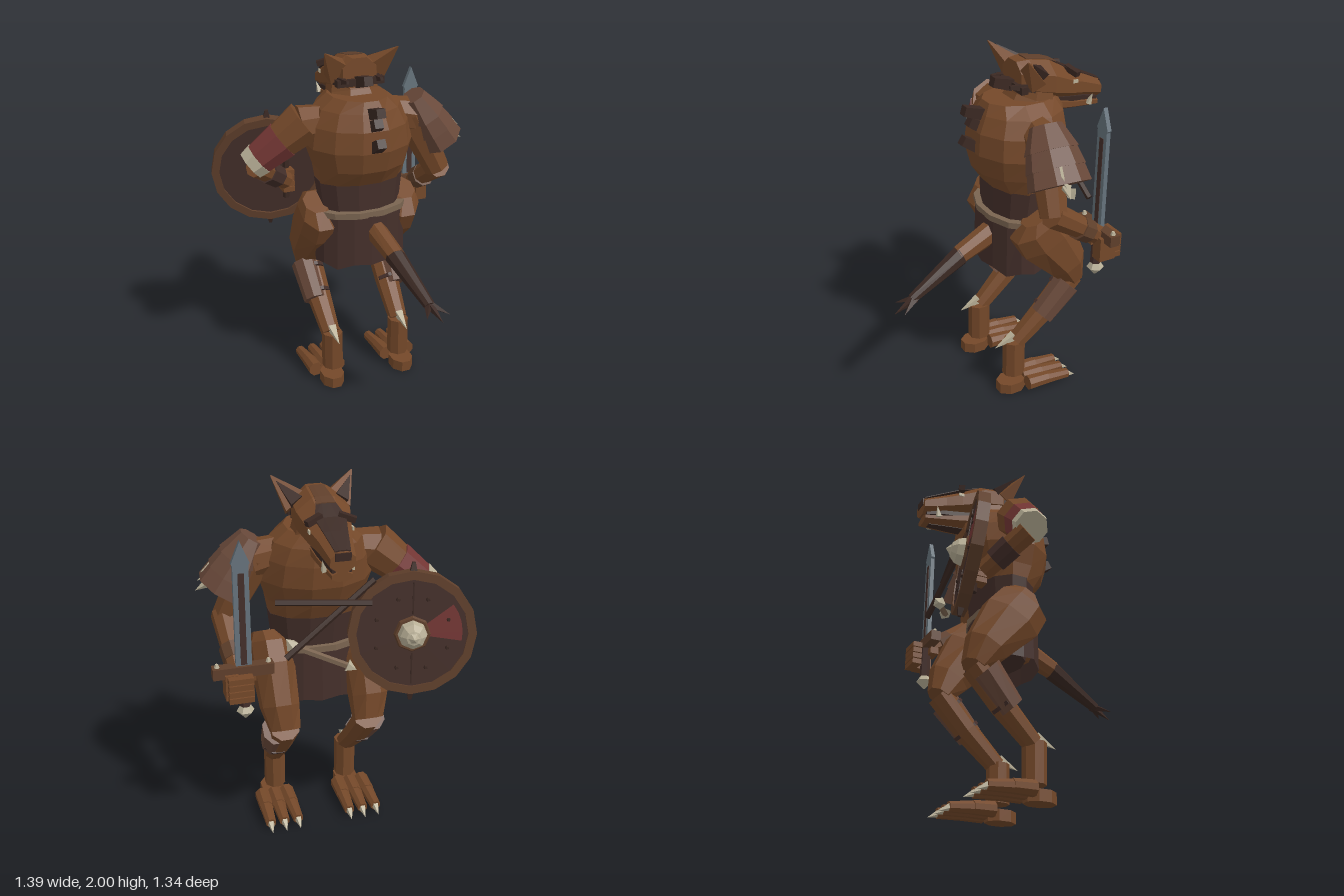
import * as THREE from 'three';

const material = (name, color) => {
  const m = new THREE.MeshStandardMaterial({ color, side: THREE.DoubleSide });
  m.name = name;
  return m;
};
const M = {
  fur: material('brown fur', 0x744829),
  dark: material('dark fur', 0x3a2822),
  leather: material('dark leather', 0x442f2a),
  plate: material('armour leather', 0x684839),
  wood: material('brown wood', 0x5f3f2b),
  red: material('red cloth', 0x733634),
  bone: material('bone', 0xb9b097),
  steel: material('steel', 0x66737c),
  belt: material('tan belt', 0x7a6450),
};
const CX = 0.055; // body centre line
const V = (x, y, z) => new THREE.Vector3(x, y, z);

function add(parent, name, geo, mat, pos) {
  const g = geo.index ? geo.toNonIndexed() : geo; // faceted normals
  g.computeVertexNormals();
  const mesh = new THREE.Mesh(g, mat);
  mesh.name = name;
  if (pos) mesh.position.set(...pos);
  parent.add(mesh);
  return mesh;
}
const box = (parent, name, size, pos, mat) => add(parent, name, new THREE.BoxGeometry(...size), mat, pos);

// Tapered prism between two points; depth stretches it along its local z
function limb(parent, name, a, b, ra, rb, mat, sides = 8, depth = 1) {
  const p = V(...a), q = V(...b), d = q.clone().sub(p);
  const g = new THREE.CylinderGeometry(rb, ra, d.length(), sides, 1, false, Math.PI / sides);
  g.scale(1, 1, depth);
  const m = add(parent, name, g, mat);
  m.position.copy(p).add(q).multiplyScalar(0.5);
  m.quaternion.setFromUnitVectors(V(0, 1, 0), d.normalize());
  return m;
}

// Skin over rings [x, y, z, rx, rz], each turned about x by tilt
function loft(parent, name, rings, tilt, mat, n = 8) {
  const pos = [], idx = [], k = 1 / Math.cos(Math.PI / n);
  rings.forEach(([x, y, z, rx, rz]) => {
    for (let i = 0; i < n; i++) {
      const a = ((i + 0.5) / n) * Math.PI * 2, s = Math.sin(a) * rz * k;
      pos.push(x + Math.cos(a) * rx * k, y - s * Math.sin(tilt), z + s * Math.cos(tilt));
    }
  });
  for (let r = 0; r < rings.length - 1; r++)
    for (let i = 0; i < n; i++) {
      const a = r * n + i, b = r * n + ((i + 1) % n);
      idx.push(a, a + n, b, b, a + n, b + n);
    }
  const top = (rings.length - 1) * n;
  for (let i = 1; i < n - 1; i++) idx.push(0, i, i + 1, top, top + i + 1, top + i);
  const g = new THREE.BufferGeometry();
  g.setAttribute('position', new THREE.Float32BufferAttribute(pos, 3));
  g.setIndex(idx);
  return add(parent, name, g, mat);
}

function buildTorso(root) {
  const t = new THREE.Group(); t.name = 'torso'; root.add(t);
  // rows: y, half width, back z, front z
  const ring = ([y, w, b, f]) => [CX, y, (b + f) / 2, w, (b - f) / 2];
  loft(t, 'chest', [[1.26, 0.25, 0.01, -0.31], [1.36, 0.265, 0.08, -0.36], [1.48, 0.3, 0.11, -0.41],
    [1.6, 0.28, 0.1, -0.42], [1.69, 0.235, 0.06, -0.41], [1.75, 0.16, 0.03, -0.38]].map(ring), 0, M.fur, 12);
  loft(t, 'waistWrap', [[1.08, 0.23, 0.01, -0.29], [1.28, 0.255, 0.015, -0.32]].map(ring), 0, M.leather, 12);
  loft(t, 'belt', [[1.075, 0.278, 0.045, -0.32], [1.11, 0.278, 0.045, -0.32]].map(ring), 0, M.belt, 12);
  loft(t, 'pelvis', [[0.84, 0.17, -0.02, -0.26], [1.08, 0.23, 0.01, -0.29]].map(ring), 0, M.leather, 10);
  // Skirt with a ragged hem
  const skirt = new THREE.CylinderGeometry(0.265, 0.275, 0.3, 16, 1, true);
  const p = skirt.attributes.position;
  for (let i = 0; i < p.count; i++) {
    if (p.getY(i) < 0) p.setY(i, p.getY(i) + [0, 0.01, -0.02, 0.01][(i % 17) % 4]);
    p.setZ(i, p.getZ(i) * 0.69);
  }
  add(t, 'skirt', skirt, M.leather, [CX, 0.93, -0.135]);
  loft(t, 'neck', [[CX, 1.62, -0.22, 0.19, 0.17], [CX, 1.74, -0.25, 0.14, 0.13], [CX, 1.86, -0.27, 0.12, 0.1]], -0.3, M.fur);
  // Mane tufts down the neck and back
  [[1.82, -0.12, 1.85, -0.01], [1.68, 0.03, 1.72, 0.16], [1.62, 0.07, 1.655, 0.13],
    [1.5, 0.08, 1.555, 0.17]].forEach(([y, z, y2, z2]) =>
    limb(t, 'maneTuft', [CX, y, z], [CX, y2, z2], 0.045, 0.036, M.dark, 4));
  // Tail
  const tilt = 1.97;
  loft(t, 'tailBase', [[0.08, 1.0, -0.05, 0.06, 0.07], [0.12, 0.9, 0.23, 0.052, 0.05]], tilt, M.fur);
  loft(t, 'tailEnd', [[0.12, 0.9, 0.22, 0.054, 0.053], [0.175, 0.74, 0.55, 0.03, 0.025]], tilt, M.dark);
  [[0.12, 0.71, 0.63], [0.2, 0.69, 0.665], [0.26, 0.71, 0.63]].forEach((e) =>
    limb(t, 'tailTuft', [0.178, 0.745, 0.53], e, 0.028, 0, M.dark, 4));
}

function buildHead(root) {
  const h = new THREE.Group(); h.name = 'head'; h.position.x = CX; root.add(h);
  const T = -Math.PI / 2;
  loft(h, 'skull', [[0, 1.86, -0.13, 0.1, 0.09], [0, 1.85, -0.2, 0.135, 0.105], [0, 1.825, -0.32, 0.14, 0.11],
    [0, 1.78, -0.45, 0.11, 0.085], [0, 1.755, -0.54, 0.085, 0.07], [0, 1.718, -0.665, 0.064, 0.051]], T, M.fur);
  loft(h, 'lowerJaw', [[0, 1.7, -0.3, 0.1, 0.055], [0, 1.665, -0.48, 0.078, 0.035], [0, 1.64, -0.655, 0.052, 0.024]], T, M.fur);
  loft(h, 'mouth', [[0, 1.715, -0.32, 0.09, 0.045], [0, 1.69, -0.54, 0.068, 0.03], [0, 1.667, -0.645, 0.05, 0.02]], T, M.dark);
  loft(h, 'jawUnderside', [[0, 1.643, -0.31, 0.04, 0.004], [0, 1.629, -0.48, 0.032, 0.004], [0, 1.617, -0.62, 0.02, 0.004]], T, M.dark);
  // Dark nose ridge running back into a paler crown stripe
  loft(h, 'snoutStripe', [[0, 1.917, -0.36, 0.05, 0.006], [0, 1.867, -0.45, 0.08, 0.006],
    [0, 1.827, -0.54, 0.062, 0.006], [0, 1.772, -0.66, 0.04, 0.006]], T, M.dark);
  loft(h, 'crownStripe', [[0, 1.957, -0.19, 0.04, 0.004], [0, 1.936, -0.32, 0.045, 0.004], [0, 1.918, -0.37, 0.05, 0.004]], T, M.wood);
  box(h, 'nose', [0.08, 0.04, 0.012], [0, 1.745, -0.664], M.dark);
  for (const s of [-1, 1]) {
    limb(h, 'ear', [s * 0.105, 1.87, -0.19], [s * 0.215, 2.0, -0.1], 0.1, 0.004, M.fur, 4, 0.6);
    limb(h, 'innerEar', [s * 0.115, 1.895, -0.245], [s * 0.195, 1.98, -0.14], 0.05, 0.002, M.dark, 4, 0.6);
    const brow = box(h, 'brow', [0.09, 0.03, 0.035], [s * 0.085, 1.865, -0.45], M.dark);
    brow.rotation.set(0, s * 0.35, s * -0.3);
    box(h, 'eye', [0.008, 0.018, 0.03], [s * 0.111, 1.81, -0.46], M.bone);
    limb(h, 'cheekTuft', [s * 0.11, 1.82, -0.2], [s * 0.1, 1.84, -0.06], 0.035, 0.012, M.dark, 4);
    limb(h, 'fang', [s * 0.068, 1.65, -0.58], [s * 0.083, 1.71, -0.595], 0.02, 0, M.bone, 4);
  }
  limb(h, 'napeBand', [-0.14, 1.82, -0.13], [0.14, 1.82, -0.13], 0.028, 0.028, M.dark, 4);
}

function buildLeg(root, s) {
  const g = new THREE.Group(); g.name = s > 0 ? 'leftLeg' : 'rightLeg'; root.add(g);
  const X = (d) => CX + s * d;
  loft(g, 'thigh', [[X(0.235), 0.68, -0.41, 0.08, 0.065], [X(0.25), 0.8, -0.35, 0.1, 0.115],
    [X(0.253), 0.99, -0.21, 0.11, 0.165], [X(0.255), 1.09, -0.14, 0.105, 0.15], [X(0.27), 1.15, -0.13, 0.07, 0.08]], 0.5, M.fur);
  loft(g, 'shin', [[X(0.222), 0.32, -0.055, 0.052, 0.05], [X(0.23), 0.5, -0.24, 0.068, 0.062],
    [X(0.235), 0.69, -0.41, 0.075, 0.065]], -0.8, M.fur);
  // Guard on the outer shin
  loft(g, 'greave', [[X(0.262), 0.48, -0.2, 0.062, 0.07], [X(0.275), 0.66, -0.355, 0.07, 0.083]], -0.8, M.plate);
  for (const [y, z] of [[0.5, -0.225], [0.62, -0.325]])
    loft(g, 'greaveStrap', [[X(0.245), y, z, 0.078, 0.075], [X(0.245), y + 0.015, z - 0.015, 0.078, 0.075]], -0.8, M.leather);
  limb(g, 'hockSpike', [X(0.22), 0.36, -0.04], [X(0.22), 0.31, 0.085], 0.032, 0, M.bone, 4);
  loft(g, 'ankle', [[X(0.217), 0.1, -0.043, 0.057, 0.062], [X(0.217), 0.33, -0.043, 0.057, 0.062]], 0, M.fur);
  loft(g, 'heel', [[X(0.23), 0, -0.02, 0.065, 0.085], [X(0.23), 0.065, -0.02, 0.065, 0.085]], 0, M.fur);
  for (const d of [-1, 0, 1]) {
    const x = X(0.235) + d * 0.072;
    limb(g, 'toeKnuckle', [x, 0.056, -0.09], [x + d * 0.004, 0.052, -0.22], 0.045, 0.04, M.fur);
    limb(g, 'toe', [x + d * 0.004, 0.05, -0.22], [x + d * 0.008, 0.037, -0.36], 0.038, 0.03, M.fur);
    limb(g, 'toeClaw', [x + d * 0.008, 0.04, -0.345], [x + d * 0.01, 0.008, -0.415], 0.026, 0, M.bone, 5);
  }
}

function buildShieldArm(root) {
  const g = new THREE.Group(); g.name = 'shieldArm'; root.add(g);
  const a = V(-0.21, 1.645, -0.18), e = V(-0.548, 1.375, -0.26);
  const at = (t) => a.clone().lerp(e, t).toArray();
  limb(g, 'shoulder', [-0.1, 1.61, -0.17], at(0.2), 0.09, 0.115, M.fur);
  limb(g, 'upperArm', at(0.12), at(0.97), 0.128, 0.08, M.fur);
  limb(g, 'redBand', at(0.48), at(0.86), 0.114, 0.096, M.red);
  limb(g, 'cuff', at(0.86), at(1), 0.1, 0.09, M.bone);
  limb(g, 'forearm', [-0.52, 1.36, -0.27], [-0.3, 1.19, -0.42], 0.065, 0.055, M.fur);
  limb(g, 'armStrap', [-0.44, 1.3, -0.325], [-0.36, 1.235, -0.38], 0.072, 0.068, M.leather);
  for (let i = 0; i < 4; i++) box(g, 'finger', [0.07, 0.03, 0.09], [-0.28, 1.13 + i * 0.035, -0.45], M.fur);
  limb(g, 'shieldGrip', [-0.28, 1.06, -0.47], [-0.28, 1.3, -0.46], 0.02, 0.02, M.dark, 6);

  // Shield, built facing +z, then turned outward
  const s = new THREE.Group(); s.name = 'shield'; g.add(s);
  const ring = new THREE.Shape(), hole = new THREE.Path(), N = 16;
  for (let i = 0; i < N; i++) {
    const c = Math.cos(i / N * Math.PI * 2), d = Math.sin(i / N * Math.PI * 2);
    ring[i ? 'lineTo' : 'moveTo'](c * 0.335, d * 0.335);
    hole[i ? 'lineTo' : 'moveTo'](c * 0.29, d * 0.29);
  }
  ring.holes.push(hole);
  add(s, 'shieldRim', new THREE.ExtrudeGeometry(ring, { depth: 0.065, bevelEnabled: false }), M.wood, [0, 0, -0.035]);
  add(s, 'shieldBoard', new THREE.CylinderGeometry(0.292, 0.292, 0.045, N).rotateX(Math.PI / 2), M.leather);
  add(s, 'redWedge', new THREE.RingGeometry(0.09, 0.26, 4, 1, -0.15, 0.8), M.red, [0, 0, 0.027]);
  add(s, 'bossPlate', new THREE.CylinderGeometry(0.09, 0.1, 0.016, 8).rotateX(Math.PI / 2), M.wood, [0, 0, 0.028]);
  add(s, 'boss', new THREE.SphereGeometry(0.078, 8, 3, 0, Math.PI * 2, 0, Math.PI / 2).rotateX(Math.PI / 2), M.bone, [0, 0, 0.034]);
  limb(s, 'bossSpike', [0, 0, 0.09], [0, 0, 0.13], 0.045, 0, M.bone, 6);
  for (let i = 0; i < 8; i++) {
    const c = Math.cos((i + 0.5) * Math.PI / 4), d = Math.sin((i + 0.5) * Math.PI / 4);
    limb(s, 'rivet', [c * 0.2, d * 0.2, 0.02], [c * 0.2, d * 0.2, 0.034], 0.014, 0.008, M.dark, 6);
  }
  for (const y of [-1, 1]) {
    box(s, 'boardSeam', [0.008, 0.17, 0.006], [0, y * 0.19, 0.024], M.dark);
    limb(s, 'rimSpike', [0, y * 0.32, 0], [0, y * 0.375, 0], 0.028, 0.012, M.dark, 4);
  }
  s.position.set(-0.365, 1.235, -0.53);
  s.lookAt(-0.365 + 0.25, 1.235 + 0.12, -0.53 - 0.96);
}

function buildSwordArm(root) {
  const g = new THREE.Group(); g.name = 'swordArm'; root.add(g);
  limb(g, 'shoulder', [0.22, 1.62, -0.17], [0.39, 1.58, -0.15], 0.09, 0.11, M.fur);
  limb(g, 'upperArm', [0.37, 1.6, -0.15], [0.54, 1.25, -0.11], 0.105, 0.075, M.fur);
  limb(g, 'forearm', [0.54, 1.27, -0.1], [0.53, 1.07, -0.4], 0.075, 0.055, M.fur);
  limb(g, 'bracer', [0.535, 1.15, -0.27], [0.53, 1.105, -0.34], 0.072, 0.068, M.wood);
  // Overlapping shoulder plates
  const a = V(0.385, 1.7, -0.14), b = V(0.555, 1.43, -0.13);
  [[0, 0.42, 0.07, 0.118], [0.32, 0.72, 0.105, 0.13], [0.62, 1, 0.12, 0.138]].forEach(([t, u, r1, r2], i) =>
    limb(g, 'pauldronPlate' + i, a.clone().lerp(b, t).toArray(), a.clone().lerp(b, u).toArray(), r1, r2, M.plate, 8, 1.25));
  for (const [x, y, z] of [[0.61, 1.55, -0.1], [0.63, 1.51, -0.11], [0.645, 1.46, -0.12]])
    limb(g, 'pauldronSpike', [x - 0.02, y, z], [x + 0.045, y - 0.04, z + 0.01], 0.026, 0, M.bone, 5);
  // Fist
  box(g, 'palm', [0.07, 0.14, 0.1], [0.575, 1.01, -0.42], M.fur);
  for (let i = 0; i < 4; i++) box(g, 'finger', [0.13, 0.03, 0.055], [0.535, 0.955 + i * 0.036, -0.485], M.fur);
  box(g, 'thumb', [0.09, 0.04, 0.05], [0.485, 1.03, -0.39], M.fur);
  // Sword
  const s = new THREE.Group(); s.name = 'sword'; s.position.set(0.505, 0, -0.42); g.add(s);
  const blade = new THREE.Shape([[-0.042, 1.1], [0.042, 1.1], [0.04, 1.66], [0.047, 1.67], [0, 1.785], [-0.047, 1.67], [-0.04, 1.66]]
    .map(([x, y]) => new THREE.Vector2(x, y)));
  add(s, 'blade', new THREE.ExtrudeGeometry(blade, { depth: 0.024, bevelEnabled: false }), M.steel, [0, 0, -0.012]);
  box(s, 'bladeFuller', [0.032, 0.5, 0.03], [0, 1.37, 0], M.leather);
  box(s, 'crossguard', [0.32, 0.06, 0.06], [0.005, 1.085, 0], M.wood);
  for (const x of [-0.13, 0.14]) limb(s, 'guardStud', [x, 1.1, 0], [x, 1.135, 0], 0.02, 0.008, M.bone, 6);
  limb(s, 'grip', [0, 0.86, 0], [0, 1.06, 0], 0.03, 0.028, M.leather, 6);
  limb(s, 'pommelTop', [0, 0.845, 0], [0, 0.875, 0], 0.048, 0.03, M.bone, 6);
  limb(s, 'pommelTip', [0, 0.845, 0], [0, 0.8, 0], 0.048, 0.005, M.bone, 6);
}

// Shafts carried across the chest, behind the shield
function buildShafts(root) {
  const g = new THREE.Group(); g.name = 'shafts'; root.add(g);
  limb(g, 'darkShaft', [0.33, 1.43, -0.4], [-0.15, 1.42, -0.51], 0.018, 0.018, M.dark, 5);
  limb(g, 'crossedShaft', [0.3, 1.16, -0.5], [-0.18, 1.52, -0.45], 0.018, 0.018, M.dark, 5);
  const a = [0.245, 1.18, -0.41], b = [-0.01, 1.1, -0.55];
  limb(g, 'boneTippedShaft', a, b, 0.018, 0.018, M.belt, 5);
  limb(g, 'upperTip', a, [0.28, 1.23, -0.42], 0.038, 0, M.bone, 5);
  limb(g, 'lowerTip', b, [-0.055, 1.08, -0.57], 0.036, 0, M.bone, 5);
}

export function createModel() {
  const root = new THREE.Group();
  root.name = 'beastWarrior';
  buildTorso(root);
  buildHead(root);
  for (const s of [-1, 1]) buildLeg(root, s);
  buildShieldArm(root);
  buildSwordArm(root);
  buildShafts(root);
  return root;
}
